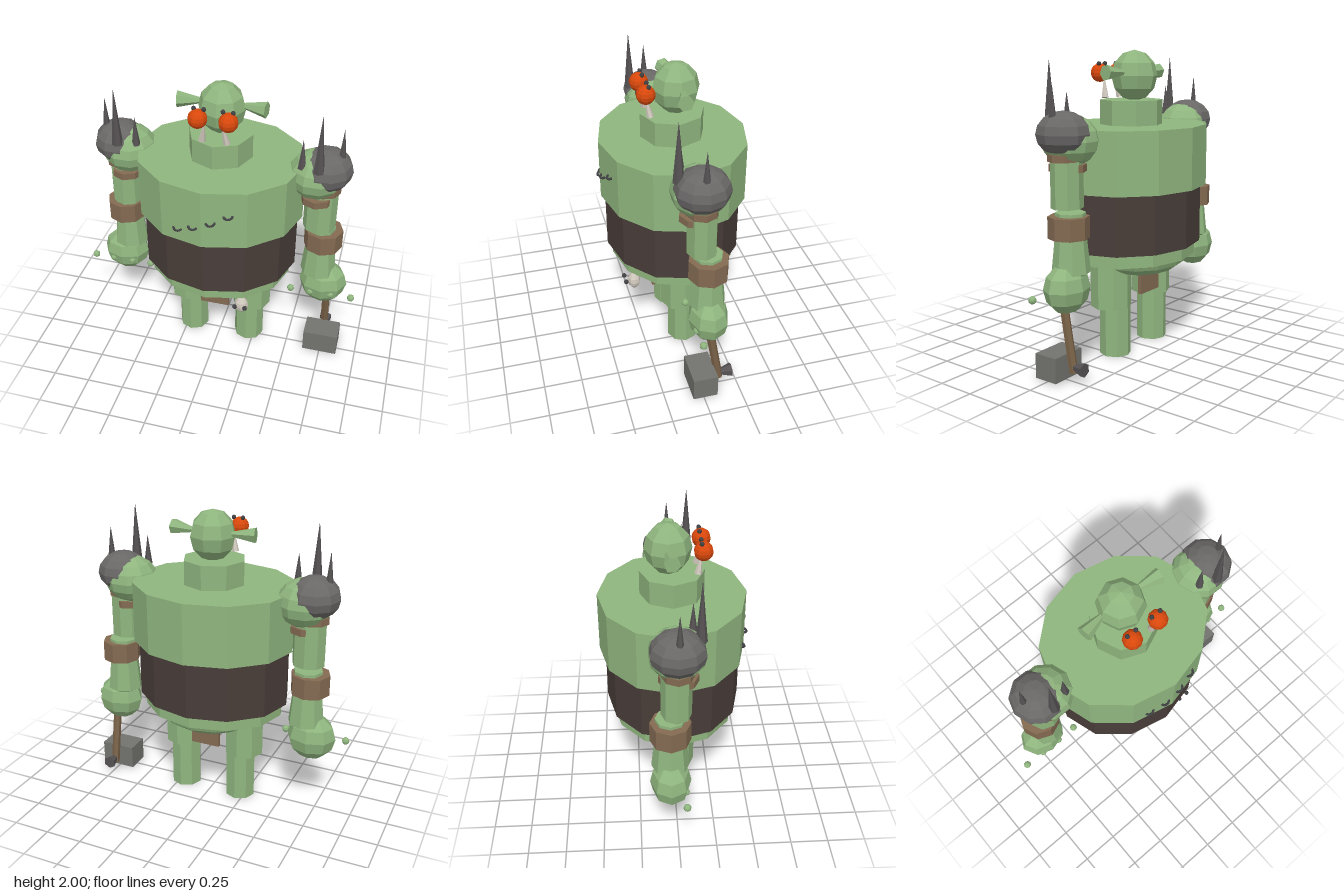
import * as THREE from 'three';

const mat = (name, color) => {
  const m = new THREE.MeshStandardMaterial({ color, flatShading: true });
  m.name = name;
  return m;
};

export function createModel() {
  const skin = mat('green skin', 0x8fb57e);
  const belt = mat('dark leather', 0x483d39);
  const leather = mat('brown leather', 0x836a52);
  const wood = mat('wood', 0x7a6248);
  const iron = mat('iron', 0x6a6867);
  const stone = mat('hammer stone', 0x72736e);
  const spikeMat = mat('spike metal', 0x565253);
  const dark = mat('dark metal', 0x404043);
  const orange = mat('orange eye', 0xd9480c);
  const bone = mat('bone', 0xcdc6bb);

  const model = new THREE.Group();
  model.name = 'ogre';

  const add = (name, geo, material, x, y, z) => {
    const m = new THREE.Mesh(geo, material);
    m.name = name;
    m.position.set(x, y, z);
    model.add(m);
    return m;
  };
  const ball = (name, material, x, y, z, rx, ry = rx, rz = rx, seg = 8, rows = 6) => {
    const m = add(name, new THREE.SphereGeometry(1, seg, rows), material, x, y, z);
    m.scale.set(rx, ry, rz);
    return m;
  };
  const box = (name, material, x, y, z, w, h, d) =>
    add(name, new THREE.BoxGeometry(w, h, d), material, x, y, z);
  // upright prism between two heights, oval if rz differs from rx
  const drum = (name, material, x, z, y0, y1, rx, rz = rx, sides = 8) => {
    const m = add(name, new THREE.CylinderGeometry(1, 1, y1 - y0, sides), material, x, (y0 + y1) / 2, z);
    m.scale.set(rx, 1, rz);
    return m;
  };
  // tapered rod from point a (radius ra) to point b (radius rb)
  const rod = (name, material, a, b, ra, rb, sides = 6) => {
    const p = new THREE.Vector3(...a), q = new THREE.Vector3(...b);
    const dir = q.clone().sub(p);
    const mid = p.add(q).multiplyScalar(0.5);
    const m = add(name, new THREE.CylinderGeometry(rb, ra, dir.length(), sides), material, mid.x, mid.y, mid.z);
    m.quaternion.setFromUnitVectors(new THREE.Vector3(0, 1, 0), dir.normalize());
    return m;
  };

  // Torso
  drum('chest', skin, 0, -0.008, 1.12, 1.52, 0.548, 0.478, 12);
  drum('belt', belt, 0, -0.003, 0.735, 1.12, 0.518, 0.445, 12);
  drum('lowerBelly', skin, 0, -0.003, 0.65, 0.735, 0.482, 0.412, 12);
  drum('loinclothStrap', leather, 0, -0.003, 0.633, 0.65, 0.405, 0.37, 12);
  ball('rump', skin, 0, 0.66, -0.12, 0.34, 0.135, 0.27, 12, 8);
  box('frontLoincloth', leather, 0, 0.51, 0.145, 0.2, 0.26, 0.03);
  box('backLoincloth', leather, 0, 0.52, -0.152, 0.2, 0.24, 0.026);

  // Chest stitches
  [[-0.16, 1.213, 0.425], [-0.055, 1.258, 0.45], [0.055, 1.305, 0.45], [0.16, 1.357, 0.425]].forEach(([x, y, z]) => {
    const m = add('stitch', new THREE.TorusGeometry(0.028, 0.008, 6, 8, Math.PI), dark, x, y, z);
    m.rotation.set(1.95, 0, -0.15);
  });

  // Neck and head
  drum('neck', skin, 0, -0.008, 1.52, 1.68, 0.207);
  ball('head', skin, 0, 1.835, -0.033, 0.152, 0.165, 0.152);

  // Skull trophy at the hip
  ball('skull', bone, 0.228, 0.56, 0.315, 0.048, 0.056, 0.043);
  for (const dx of [-0.034, 0.034]) ball('skullEye', dark, 0.23 + dx, 0.584, 0.375, 0.016);

  // Fist and forearm profile, bottom to top
  const forearm = [[0, 0.6], [0.12, 0.67], [0.097, 0.89], [0.095, 1.04], [0, 1.04]]
    .map(([r, y]) => new THREE.Vector2(r, y));

  // Paired parts
  for (const s of [-1, 1]) {
    // Face
    rod('ear', skin, [s * 0.12, 1.855, -0.045], [s * 0.284, 1.858, -0.018], 0.014, 0.052);
    ball('eye', orange, s * 0.095, 1.852, 0.18, 0.061, 0.061, 0.061, 10, 8);
    for (const dx of [-0.031, 0.031]) ball('pupil', dark, s * 0.09 + dx, 1.911, 0.166, 0.015);
    rod('tusk', bone, [s * 0.078, 1.69, 0.15], [s * 0.055, 1.83, 0.175], 0.024, 0.002);

    // Leg
    drum('thigh', skin, s * 0.225, -0.008, 0.33, 0.66, 0.135);
    drum('shin', skin, s * 0.208, -0.03, 0, 0.33, 0.104);

    // Shoulder with spiked guard
    ball('shoulder', skin, s * 0.615, 1.465, -0.01, 0.178, 0.158, 0.178, 10, 8);
    ball('shoulderGuard', iron, s * 0.678, 1.51, -0.01, 0.166, 0.137, 0.172, 10, 8);
    for (const [x, z, y0, y1, r] of [[0.645, 0.125, 1.56, 1.94, 0.036], [0.765, -0.005, 1.57, 1.8, 0.028], [0.535, 0.085, 1.55, 1.745, 0.028]])
      rod('shoulderSpike', spikeMat, [s * x, y0, z], [s * x, y1, z], r, 0.001);

    // Arm
    drum('upperArm', skin, s * 0.66, -0.018, 1.06, 1.42, 0.107, 0.095);
    drum('upperArmStrap', leather, s * 0.672, -0.01, 1.345, 1.39, 0.108, 0.1);
    drum('lowerArmStrap', leather, s * 0.635, -0.003, 1.28, 1.325, 0.108, 0.122);
    add('forearm', new THREE.LatheGeometry(forearm, 8), skin, s * 0.675, 0, -0.055);
    drum('bracer', leather, s * 0.692, -0.055, 0.885, 1.02, 0.128);
    ball('fist', skin, s * 0.717, 0.575, -0.055, 0.163, 0.157, 0.13);
    for (const x of [0.51, 0.648, 0.785, 0.925]) ball('knuckle', skin, s * x, 0.535, 0.036, 0.025);
  }

  // Hammer in the left hand
  rod('hammerHandle', wood, [0.75, 0.52, -0.05], [0.75, 0.06, -0.13], 0.028, 0.028);
  box('hammerHead', stone, 0.75, 0.095, -0.007, 0.24, 0.16, 0.163);
  rod('hammerSpur', spikeMat, [0.75, 0.095, -0.09], [0.75, 0.095, -0.215], 0.006, 0.046);

  return model;
}
